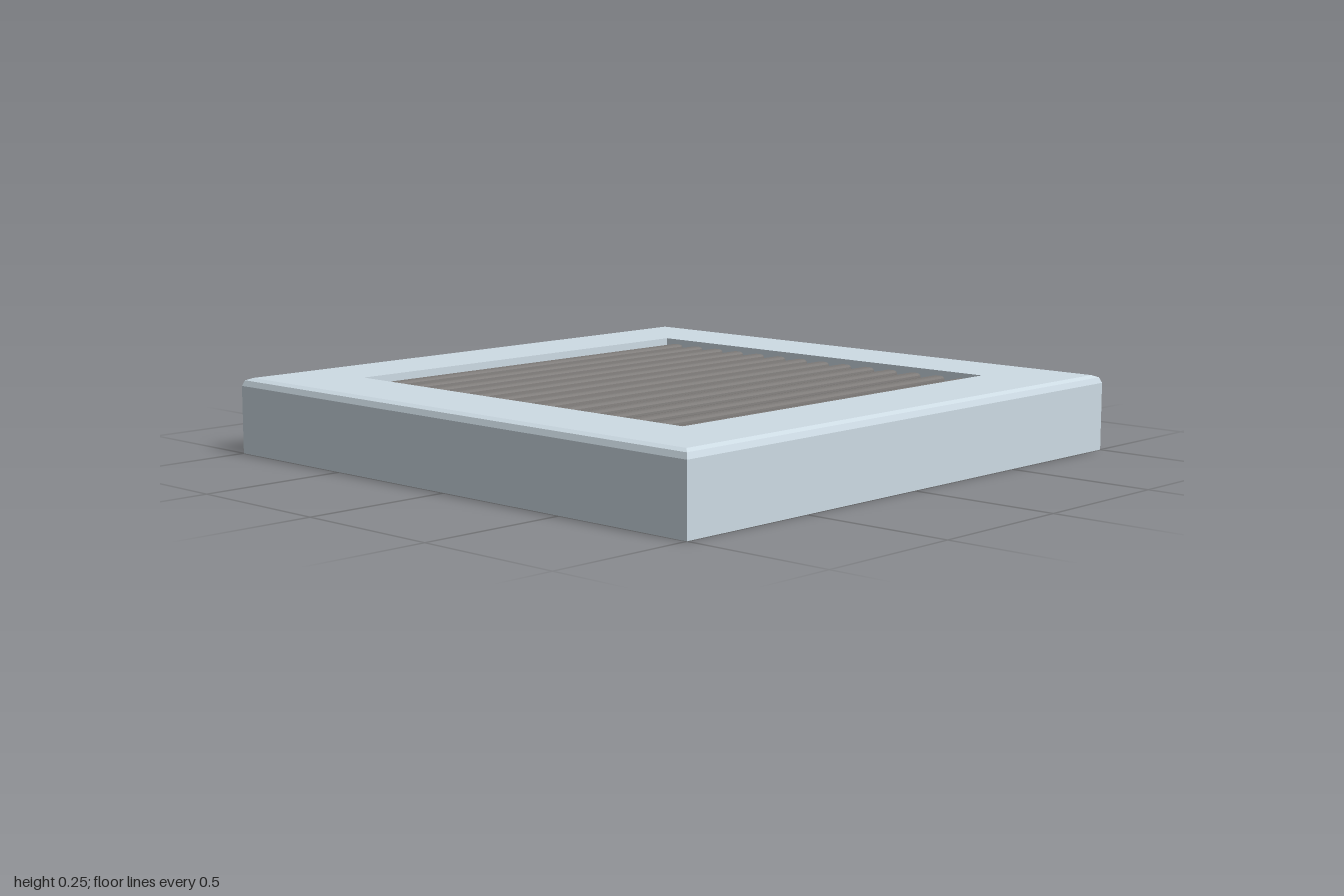
import * as THREE from 'three';
import { RoundedBoxGeometry } from 'three/addons/geometries/RoundedBoxGeometry.js';

const HALF = 1, HEIGHT = 0.25, OPENING = 0.718, ROUND = 0.026;
const BAR_COUNT = 14, BAR_PITCH = 0.1003, BAR_TOP = 0.235, BAR_BASE = 0.003;

export function createModel() {
  const group = new THREE.Group();
  const frameMaterial = new THREE.MeshStandardMaterial({
    color: 0xcddbe4, side: THREE.DoubleSide, flatShading: true });
  const barMaterial = new THREE.MeshStandardMaterial({ color: 0x7c7977, flatShading: true });

  function add(name, geometry, material) {
    const mesh = new THREE.Mesh(geometry, material);
    mesh.name = name;
    group.add(mesh);
    return mesh;
  }

  // Thin square shell: outer skirt, bevelled top edge, top border, well wall.
  const profile = [new THREE.Vector2(HALF, 0)];
  for (let i = 0; i <= 2; i++) {
    const a = (i / 2) * Math.PI / 2;
    profile.push(new THREE.Vector2(
      HALF - ROUND + ROUND * Math.cos(a),
      HEIGHT - ROUND + ROUND * Math.sin(a)));
  }
  profile.push(new THREE.Vector2(OPENING, HEIGHT), new THREE.Vector2(OPENING, 0));
  // Four lathe segments give a mitred square section.
  const shell = new THREE.LatheGeometry(profile, 4);
  shell.rotateY(Math.PI / 4);
  shell.scale(Math.SQRT2, 1, Math.SQRT2);
  add('frame', shell, frameMaterial);

  // Floor of the central well.
  const floor = new THREE.PlaneGeometry(2 * OPENING, 2 * OPENING);
  floor.rotateX(-Math.PI / 2);
  add('wellFloor', floor, frameMaterial);

  // Grille bars with bevelled edges, running across the well.
  const bar = new RoundedBoxGeometry(2 * OPENING, BAR_TOP - BAR_BASE, 0.048, 2, 0.014);
  for (let i = 0; i < BAR_COUNT; i++) {
    add('grilleBar', bar, barMaterial).position.set(
      0, (BAR_TOP + BAR_BASE) / 2, (i - (BAR_COUNT - 1) / 2) * BAR_PITCH - 0.003);
  }
  return group;
}
